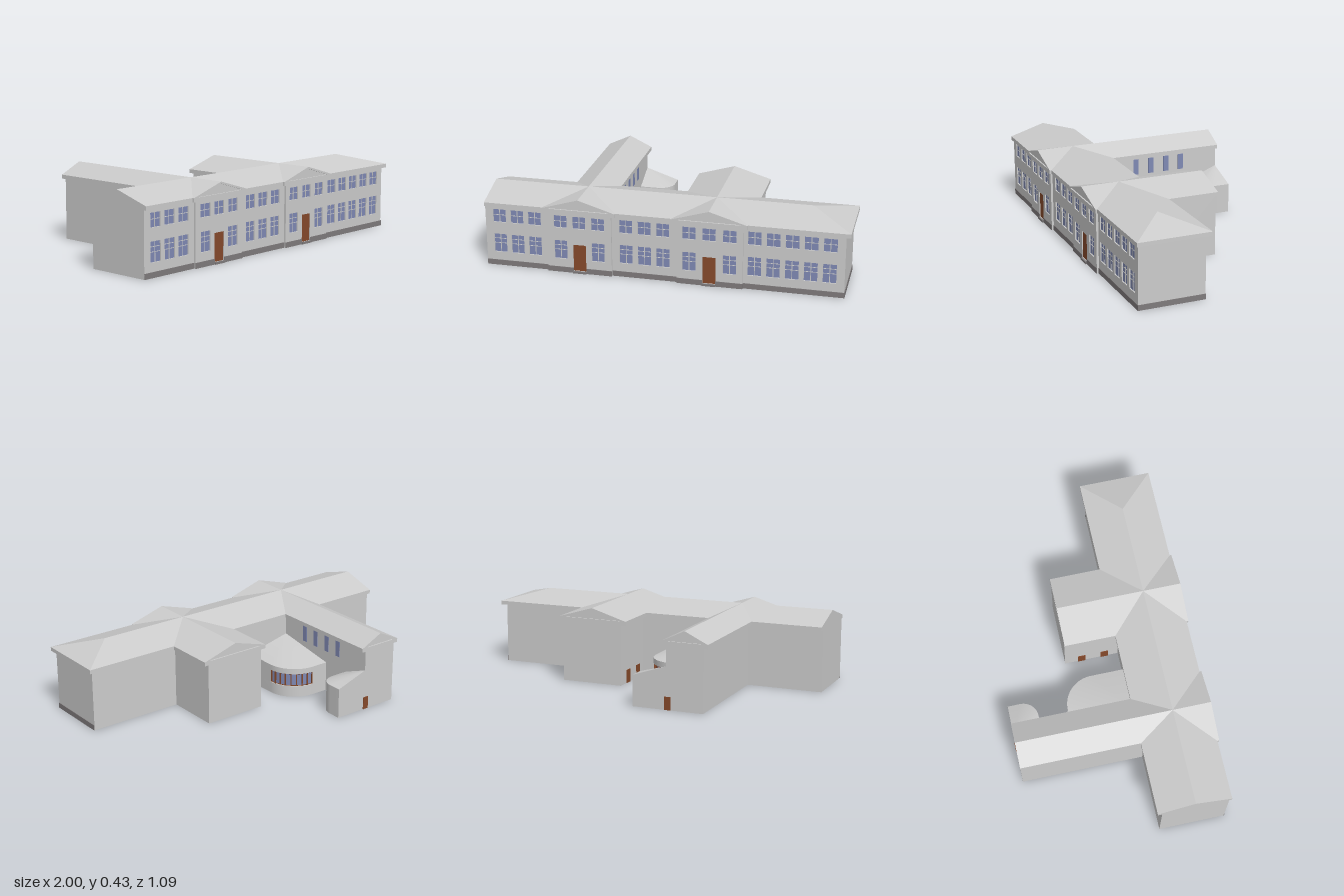
import * as THREE from 'three';
import { toCreasedNormals } from 'three/addons/utils/BufferGeometryUtils.js';
import { ConvexGeometry } from 'three/addons/geometries/ConvexGeometry.js';

const EAVE_LOW = 0.348, EAVE = 0.37, RIDGE = 0.432, RIDGE_Z = 0.33;

function material(name, color) {
  const m = new THREE.MeshStandardMaterial({ color });
  m.name = name;
  return m;
}

export function createModel() {
  const stone = material('pale stone', 0xcccccc);
  const plinthGrey = material('plinth grey', 0x7f7b7c);
  const glass = material('blue glass', 0x7f89b4);
  const wood = material('brown wood', 0x85492a);
  glass.side = THREE.DoubleSide;

  const model = new THREE.Group();
  model.name = 'building';

  function add(name, geometry, mat, parent = model) {
    const mesh = new THREE.Mesh(geometry, mat);
    mesh.name = name;
    parent.add(mesh);
    return mesh;
  }
  // Box given by its limits on each axis
  function box(name, x0, x1, y0, y1, z0, z1, mat, parent) {
    const mesh = add(name, new THREE.BoxGeometry(x1 - x0, y1 - y0, z1 - z0), mat, parent);
    mesh.position.set((x0 + x1) / 2, (y0 + y1) / 2, (z0 + z1) / 2);
    return mesh;
  }
  const convex = (pts) => new ConvexGeometry(pts.map((p) => new THREE.Vector3(...p)));

  // Wall masses
  box('mainWalls', -1, 0.975, 0, EAVE_LOW, 0.15, 0.508, stone);
  box('longWingWalls', -0.57, -0.36, 0, EAVE_LOW, -0.543, 0.15, stone);
  box('shortWingWalls', 0.075, 0.435, 0, EAVE_LOW, -0.163, 0.15, stone);

  // Main roof: hipped at +x, cut off flat at -x
  box('mainCornice', -1, 1, EAVE_LOW, EAVE, 0.125, 0.535, stone);
  add('mainRoof', convex([
    [-1, EAVE, 0.125], [-1, EAVE, 0.535], [1, EAVE, 0.125], [1, EAVE, 0.535],
    [-1, RIDGE, RIDGE_Z], [0.775, RIDGE, RIDGE_Z],
  ]), stone);

  // Cross roofs running from the main ridge out to a gable with a raking cornice
  function crossRoof(name, cx, half, zEnd) {
    const group = new THREE.Group();
    group.name = name;
    model.add(group);
    const s = Math.sign(zEnd - RIDGE_Z);
    const zIn = zEnd - s * 0.008;
    box('cornice', cx - half, cx + half, EAVE_LOW, EAVE,
      Math.min(RIDGE_Z, zEnd), Math.max(RIDGE_Z, zEnd), stone, group);
    add('slopes', convex([RIDGE_Z, zIn].flatMap((z) => [
      [cx - half, EAVE, z], [cx + half, EAVE, z], [cx, RIDGE, z],
    ])), stone, group);
    const rake = new THREE.Shape([
      [-half, EAVE], [-half + 0.035, EAVE], [0, RIDGE - 0.011],
      [half - 0.035, EAVE], [half, EAVE], [0, RIDGE],
    ].map(([x, y]) => new THREE.Vector2(x, y)));
    const edge = add('rakingCornice',
      new THREE.ExtrudeGeometry(rake, { depth: 0.008, bevelEnabled: false }), stone, group);
    edge.position.set(cx, 0, Math.min(zIn, zEnd));
  }
  crossRoof('longWingRoof', -0.465, 0.13, -0.545);
  crossRoof('shortWingRoof', 0.2525, 0.2075, -0.165);
  crossRoof('leftPedimentRoof', 0.2525, 0.2075, 0.545);
  crossRoof('rightPedimentRoof', -0.465, 0.205, 0.545);

  // Front facade sections: panel with openings, recessed glass and glazing bars
  function facade(name, x0, x1, front, columns, doorX) {
    const group = new THREE.Group();
    group.name = name;
    model.add(group);
    const panel = new THREE.Shape();
    panel.moveTo(x0, 0).lineTo(x1, 0).lineTo(x1, EAVE_LOW).lineTo(x0, EAVE_LOW).closePath();
    const back = front - 0.009;
    const opening = (cx, w, y0, y1) => {
      const h = new THREE.Path();
      h.moveTo(cx - w, y0).lineTo(cx - w, y1).lineTo(cx + w, y1).lineTo(cx + w, y0).closePath();
      panel.holes.push(h);
    };
    const bars = (cx, w, y0, y1, heights) => {
      opening(cx, w, y0, y1);
      box('window', cx - w, cx + w, y0, y1, back - 0.002, back + 0.002, glass, group);
      box('mullion', cx - 0.002, cx + 0.002, y0, y1, back, back + 0.004, stone, group);
      for (const y of heights) {
        box('glazingBar', cx - w, cx + w, y - 0.0015, y + 0.0015, back, back + 0.004, stone, group);
      }
    };
    for (const cx of columns) {
      bars(cx, 0.036, doorX === undefined ? 0.255 : 0.26, 0.33, [0.296]);
      if (cx !== doorX) bars(cx, 0.036, 0.078, 0.185, [0.13, 0.157]);
    }
    if (doorX !== undefined) {
      opening(doorX, 0.036, 0.012, 0.166);
      box('frontDoor', doorX - 0.036, doorX + 0.036, 0.012, 0.166, back - 0.003, back + 0.004, wood, group);
      box('doorStep', doorX - 0.038, doorX + 0.038, 0, 0.012, front, front + 0.01, plinthGrey, group);
    }
    const depth = front - 0.508;
    add('wallPanel', new THREE.ExtrudeGeometry(panel, { depth, bevelEnabled: false }), stone, group)
      .position.z = 0.508;
    // Plinth strip, interrupted by the door
    const runs = doorX === undefined ? [[x0, x1]] : [[x0, doorX - 0.036], [doorX + 0.036, x1]];
    for (const [a, b] of runs) box('plinth', a, b, 0, 0.03, front - 0.001, front + 0.003, plinthGrey, group);
  }
  facade('rightFacade', -1, -0.645, 0.52, [-0.92, -0.82, -0.72]);
  facade('rightBay', -0.645, -0.285, 0.532, [-0.57, -0.465, -0.36], -0.465);
  facade('middleFacade', -0.285, 0.075, 0.52, [-0.207, -0.105, -0.003]);
  facade('leftBay', 0.075, 0.435, 0.532, [0.143, 0.252, 0.363], 0.252);
  facade('leftFacade', 0.435, 0.975, 0.52, [0.495, 0.595, 0.695, 0.795, 0.895]);
  box('endPlinth', 0.974, 0.978, 0, 0.03, 0.15, 0.523, plinthGrey);

  // Upper windows along the long wing
  for (const z of [-0.312, -0.217, -0.12, -0.025]) {
    box('wingWindow', -0.362, -0.357, 0.242, 0.335, z - 0.016, z + 0.016, glass);
  }

  // Back and side doors
  box('wingBackDoor', -0.387, -0.352, 0, 0.072, -0.546, -0.54, wood);
  for (const z of [-0.065, 0.07]) {
    box('wingSideDoor', 0.071, 0.077, 0, 0.075, z - 0.022, z + 0.022, wood);
  }

  // Corner annexes: plan with one rounded corner, measured from the inner corner (x, z)
  function plan(x, z, w, d, r, s, inset = 0) {
    const pts = [[x, z], [x, z + s * d]];
    const cx = x + w - r, cz = z + s * (d - r);
    if (inset) pts.push([cx, z + s * d]);
    for (let i = 0; i <= 24; i++) {
      const a = (i / 24) * Math.PI / 2;
      pts.push([cx + (r - inset) * Math.sin(a), cz + s * (r - inset) * Math.cos(a)]);
    }
    if (inset) pts.push([x + w, cz]);
    pts.push([x + w, z]);
    return pts;
  }
  function annexWall(name, pts, y0, y1) {
    const shape = new THREE.Shape(pts.map(([x, z]) => new THREE.Vector2(x, -z)));
    const geo = new THREE.ExtrudeGeometry(shape, { depth: y1 - y0, bevelEnabled: false });
    geo.rotateX(-Math.PI / 2);
    add(name, toCreasedNormals(geo, 0.5), stone).position.y = y0;
  }
  // Roof fanning out from a high inner corner to the level eave
  function annexRoof(name, pts, eave, top) {
    const loop = pts.slice();
    if (THREE.ShapeUtils.isClockWise(loop.map(([x, z]) => new THREE.Vector2(x, -z)))) loop.reverse();
    const [ax, az] = pts[0];
    const pos = [];
    loop.forEach(([x, z], i) => {
      const [nx, nz] = loop[(i + 1) % loop.length];
      pos.push(ax, top, az, x, eave, z, nx, eave, nz);
    });
    const geo = new THREE.BufferGeometry();
    geo.setAttribute('position', new THREE.Float32BufferAttribute(pos, 3));
    add(name, toCreasedNormals(geo, 0.3), stone);
  }

  // Large annex with a curved band of windows
  const big = [-0.36, 0.15, 0.27, 0.365, 0.17, -1];
  annexWall('largeAnnexBase', plan(...big), 0, 0.065);
  annexWall('largeAnnexCore', plan(...big, 0.012), 0.065, 0.14);
  annexWall('largeAnnexTop', plan(...big), 0.14, 0.172);
  annexRoof('largeAnnexRoof', plan(...big), 0.172, 0.235);
  const curveX = -0.26, curveZ = -0.045;
  const band = add('curvedWindow',
    new THREE.CylinderGeometry(0.161, 0.161, 0.075, 24, 1, true, Math.PI / 2, Math.PI / 2), glass);
  band.position.set(curveX, 0.1025, curveZ);
  for (let i = 0; i <= 8; i++) {
    const a = (i / 8) * Math.PI / 2;
    const post = add('windowPost', new THREE.BoxGeometry(0.006, 0.075, 0.008), wood);
    post.position.set(curveX + 0.164 * Math.sin(a), 0.1025, curveZ - 0.164 * Math.cos(a));
    post.rotation.y = -a;
  }
  for (const y of [0.067, 0.138]) {
    const rail = add('windowRail', new THREE.TorusGeometry(0.163, 0.002, 4, 24, Math.PI / 2), wood);
    rail.rotation.x = -Math.PI / 2;
    rail.position.set(curveX, y, curveZ);
  }

  // Small annex at the end of the long wing
  const small = [-0.36, -0.543, 0.19, 0.16, 0.088, 1];
  annexWall('smallAnnexWalls', plan(...small), 0, 0.172);
  annexRoof('smallAnnexRoof', plan(...small), 0.172, 0.235);

  return model;
}
